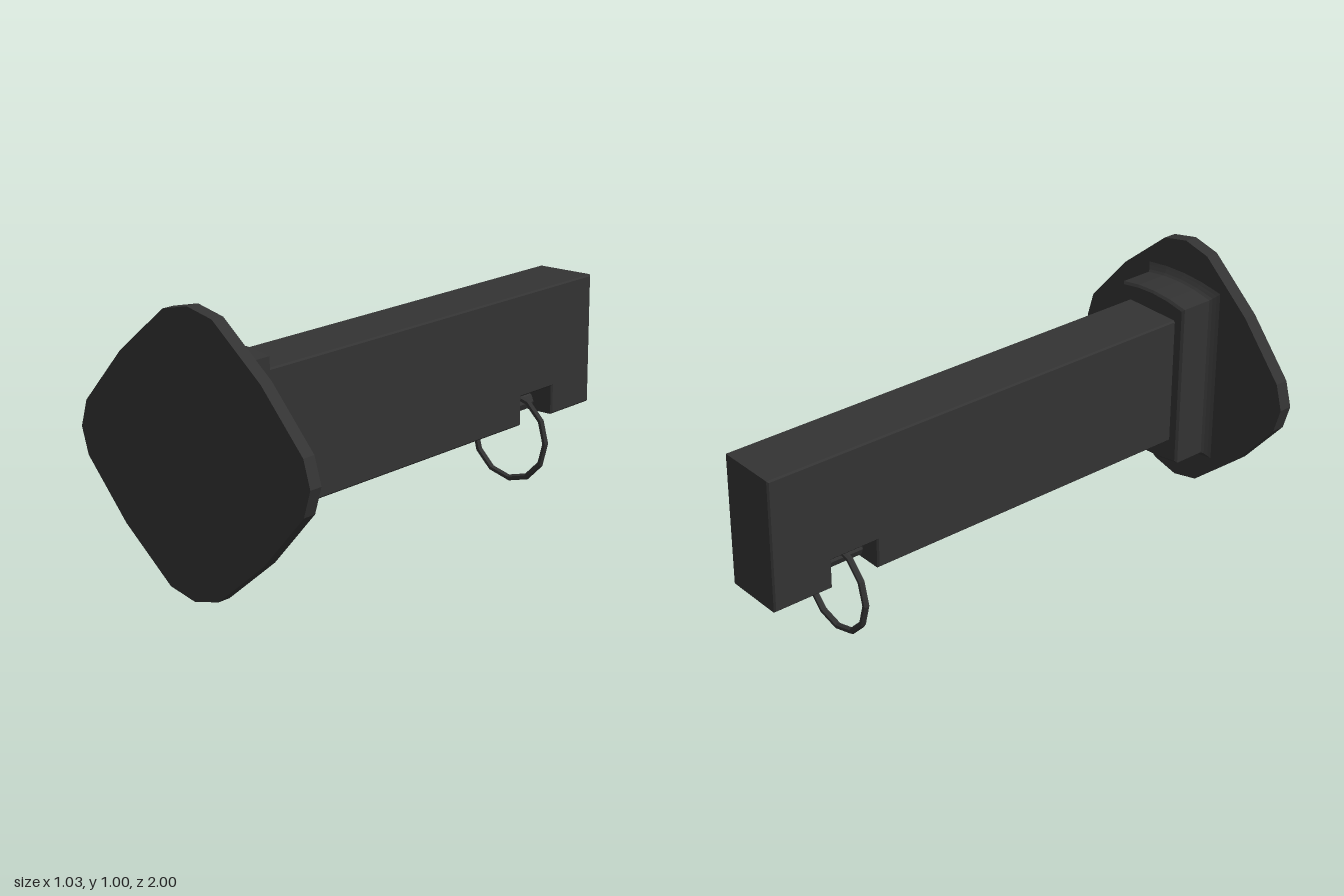
import * as THREE from 'three';

const dark = new THREE.MeshStandardMaterial({ color: 0x333333, flatShading: true });

function addPart(group, name, geometry) {
  const mesh = new THREE.Mesh(geometry, dark);
  mesh.name = name;
  group.add(mesh);
  return mesh;
}

const polygon = (points) => new THREE.Shape(points.map(([x, y]) => new THREE.Vector2(x, y)));

// Rounded diamond wall plate, mirrored from its right-hand outline
function plateGeometry() {
  const right = [[0, 0.015], [0.11, 0.041], [0.315, 0.213], [0.489, 0.413], [0.517, 0.508],
    [0.489, 0.604], [0.315, 0.804], [0.11, 0.975], [0, 1]];
  const left = right.slice(1, -1).reverse().map(([x, y]) => [-x, y]);
  const geo = new THREE.ExtrudeGeometry(polygon([...right, ...left]), { depth: 0.05, bevelEnabled: false });
  return geo.translate(0, 0, 0.95);
}

// Collar section: a tall rectangle with gently arched ends, grown outward by g
function collarSection(g) {
  const w = 0.16 + g, h = 0.318 + g, arch = 0.018, n = 4, top = [];
  for (let i = 0; i <= n; i++) {
    const t = 1 - (2 * i) / n;
    top.push([w * t, h + arch * (1 - t * t)]);
  }
  return [...top, ...top.map(([x, y]) => [-x, -y])];
}

// Collar lofted from its back face to the flared foot on the plate
function collarGeometry() {
  const stations = [[0.79, -0.008], [0.798, 0], [0.922, 0], [0.932, 0.006], [0.942, 0.016], [0.952, 0.028]];
  const pos = [], index = [];
  const n = collarSection(0).length;
  for (const [z, g] of stations) for (const [x, y] of collarSection(g)) pos.push(x, 0.508 + y, z);
  for (let s = 0; s < stations.length - 1; s++) {
    for (let i = 0; i < n; i++) {
      const a = s * n + i, b = s * n + ((i + 1) % n);
      index.push(a, b, b + n, a, b + n, a + n);
    }
  }
  // Back cap
  for (let i = 1; i < n - 1; i++) index.push(0, i + 1, i);
  const geo = new THREE.BufferGeometry();
  geo.setAttribute('position', new THREE.Float32BufferAttribute(pos, 3));
  geo.setIndex(index);
  geo.computeVertexNormals();
  return geo;
}

// Beam: side profile (z, y) with a notch underneath, extruded across x
function beamGeometry() {
  const b = 0.006;
  const profile = polygon([[-0.8, 0.27 + b], [-0.8, 0.77 - b], [1 - b, 0.77 - b], [1 - b, 0.27 + b],
    [0.765 + b, 0.27 + b], [0.765 + b, 0.38 + b], [0.575 - b, 0.38 + b], [0.575 - b, 0.27 + b]]);
  const geo = new THREE.ExtrudeGeometry(profile, {
    depth: 0.24 - 2 * b, bevelThickness: b, bevelSize: b, bevelSegments: 1,
  });
  // Profile x runs toward the back of the model
  return geo.translate(0, 0, -0.12 + b).rotateY(Math.PI / 2);
}

export function createModel() {
  const model = new THREE.Group();
  model.name = 'wallBracket';

  addPart(model, 'frontPlate', plateGeometry());
  addPart(model, 'collar', collarGeometry());
  addPart(model, 'beam', beamGeometry());

  // Pin spanning the notch, with the ring hanging from it
  const pin = addPart(model, 'notchPin', new THREE.CylinderGeometry(0.035, 0.035, 0.2, 8).rotateX(Math.PI / 2));
  pin.position.set(0, 0.305, -0.67);

  const ring = addPart(model, 'hangingRing', new THREE.TorusGeometry(0.168, 0.012, 6, 12));
  ring.position.set(-0.004, 0.184, -0.67);

  return model;
}
